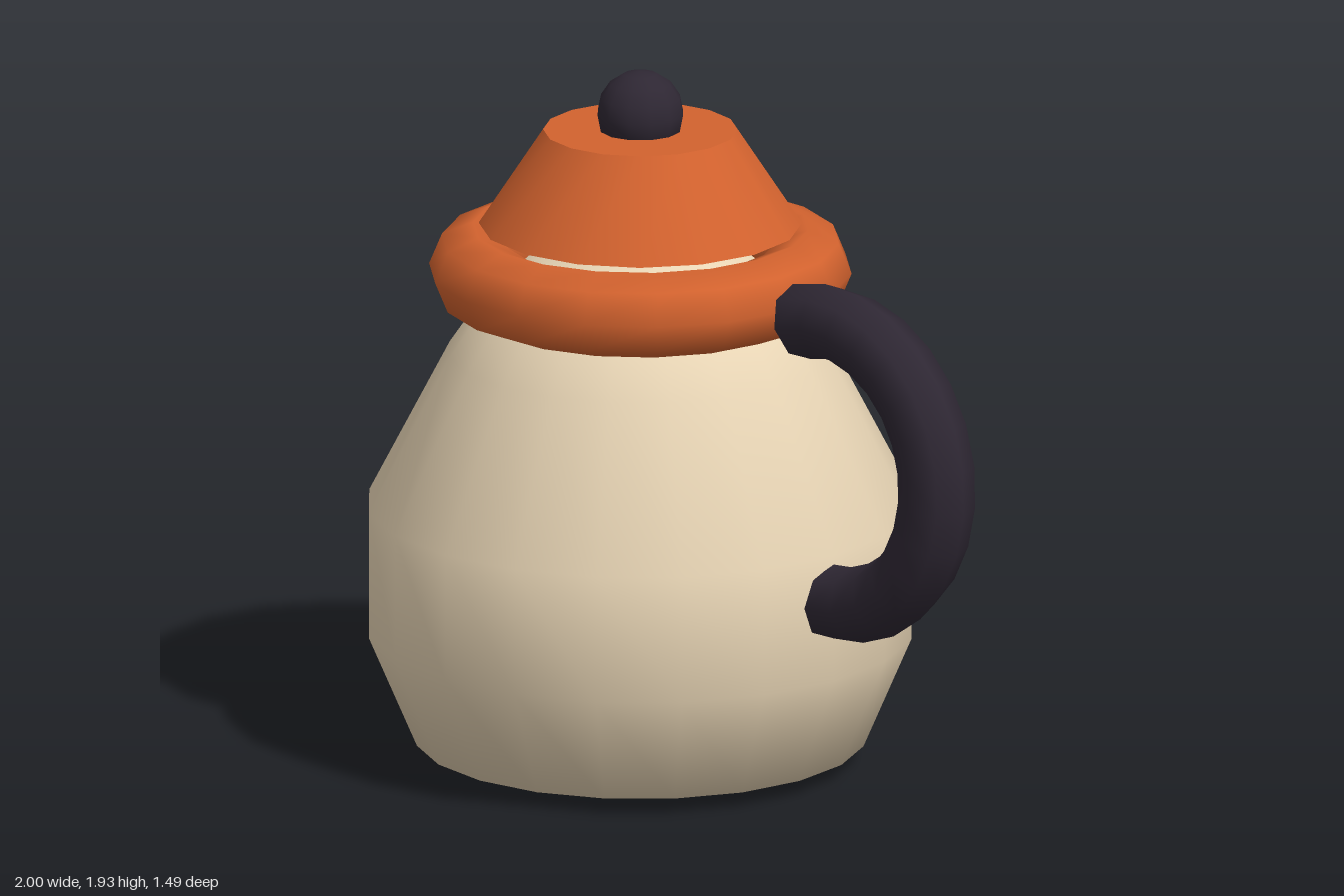
import * as THREE from 'three';

export function createModel() {
  const group = new THREE.Group();
  const cream = new THREE.MeshStandardMaterial({ color: 0xe8d5b5 });
  const orange = new THREE.MeshStandardMaterial({ color: 0xd2622e });
  const dark = new THREE.MeshStandardMaterial({ color: 0x2e2733, side: THREE.DoubleSide });
  const axisX = -0.253; // vertical axis shared by the body and lid

  const add = (name, geometry, material, x, y) => {
    const mesh = new THREE.Mesh(geometry, material);
    mesh.name = name;
    mesh.position.set(x, y, 0);
    group.add(mesh);
    return mesh;
  };

  // Round pot, wide at the belly and tapering to the lid
  const profile = [
    [0, 0], [0.615, 0.045], [0.747, 0.355], [0.747, 0.71],
    [0.525, 1.14], [0.45, 1.25], [0.28, 1.42], [0, 1.48],
  ].map(([r, y]) => new THREE.Vector2(r, y));
  add('body', new THREE.LatheGeometry(profile, 20), cream, axisX, 0);

  // Thick ring around the lid
  const rim = new THREE.TorusGeometry(0.457, 0.12, 8, 18);
  rim.rotateX(Math.PI / 2);
  add('lidRim', rim, orange, axisX, 1.37);

  // Tapered lid and its round knob
  add('lid', new THREE.CylinderGeometry(0.265, 0.44, 0.265, 16), orange, axisX, 1.632);
  add('lidKnob', new THREE.SphereGeometry(0.12, 12, 8), dark, axisX, 1.81);

  // Curved handle, open at both ends
  const handle = add('handle', new THREE.TorusGeometry(0.395, 0.105, 8, 14, 3.5), dark, 0.498, 0.975);
  handle.rotation.z = -1.6;

  return group;
}
